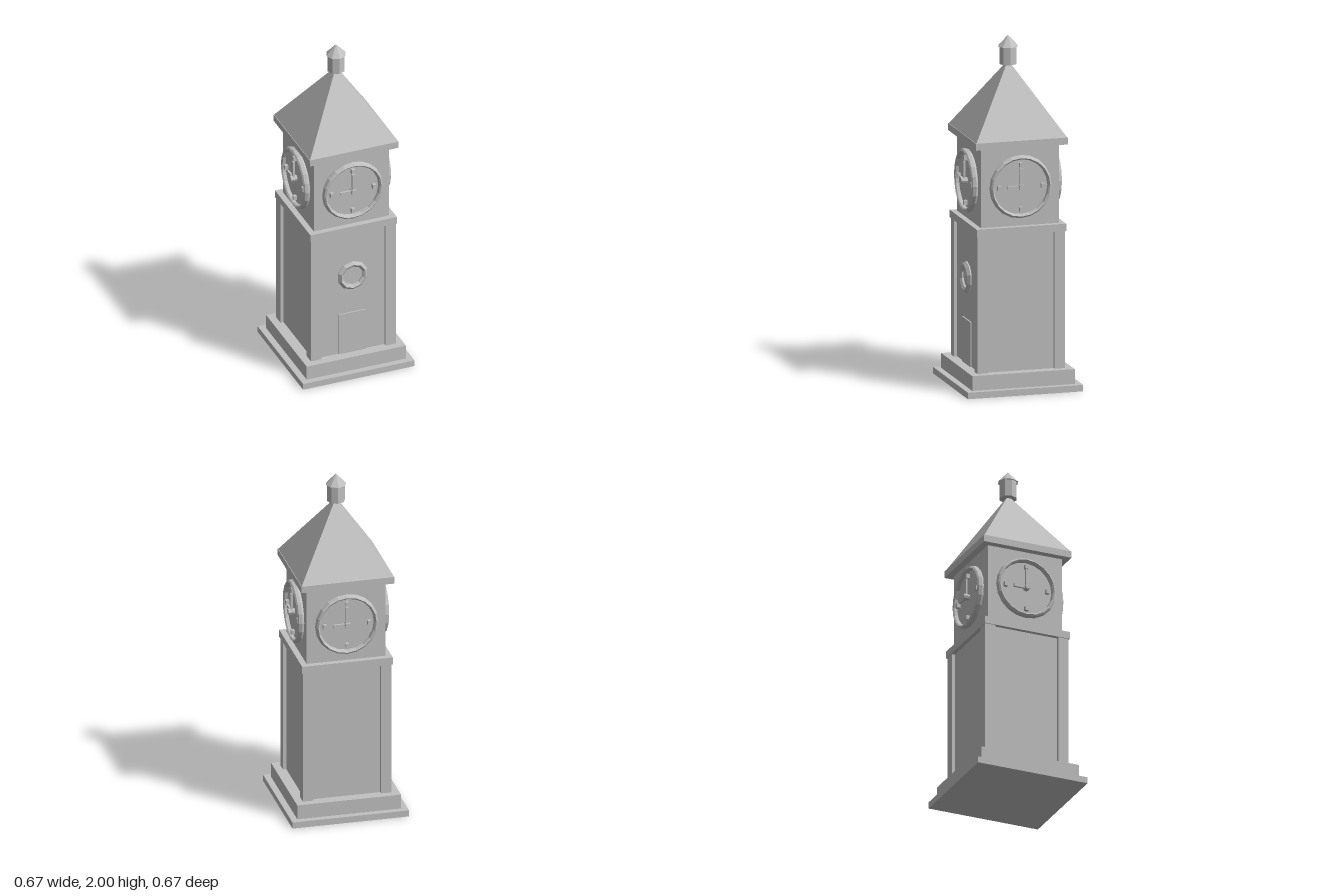
import * as THREE from 'three';

const stone = new THREE.MeshStandardMaterial({ color: 0xc0c0c0, flatShading: true });
stone.name = 'grey stone';

function add(parent, name, geometry, x = 0, y = 0, z = 0) {
  const mesh = new THREE.Mesh(geometry, stone);
  mesh.name = name;
  mesh.position.set(x, y, z);
  parent.add(mesh);
  return mesh;
}

// square block given by half width, bottom and top
function block(parent, name, half, y0, y1) {
  return add(parent, name, new THREE.BoxGeometry(half * 2, y1 - y0, half * 2), 0, (y0 + y1) / 2, 0);
}

// ring facing +z, turned from [radius, depth] points
function ring(points, sides) {
  const profile = points.map(([r, d]) => new THREE.Vector2(r, d));
  return new THREE.LatheGeometry(profile, sides).rotateX(Math.PI / 2);
}

// disc facing +z, back at z = 0
function disc(radius, depth, sides) {
  return new THREE.CylinderGeometry(radius, radius, depth, sides).rotateX(Math.PI / 2).translate(0, 0, depth / 2);
}

function createClock() {
  const clock = new THREE.Group();
  clock.name = 'clock';
  add(clock, 'clockFace', disc(0.165, 0.012, 20));
  add(clock, 'clockRim', ring([[0.175, 0], [0.182, 0.012], [0.177, 0.03], [0.168, 0.037], [0.16, 0.03], [0.157, 0.01]], 20));
  // quarter-hour markers
  for (let i = 0; i < 4; i++) {
    const a = i * Math.PI / 2;
    add(clock, 'hourMarker', new THREE.BoxGeometry(0.02, 0.026, 0.024), Math.sin(a) * 0.128, Math.cos(a) * 0.128, 0.02);
  }
  add(clock, 'minuteHand', new THREE.BoxGeometry(0.018, 0.11, 0.012), 0, 0.055, 0.03);
  add(clock, 'hourHand', new THREE.BoxGeometry(0.08, 0.018, 0.012), -0.04, 0, 0.03);
  add(clock, 'handPin', disc(0.018, 0.05, 8));
  return clock;
}

export function createModel() {
  const tower = new THREE.Group();
  tower.name = 'clockTower';

  // stepped base
  block(tower, 'lowerStep', 0.337, 0, 0.037);
  block(tower, 'upperStep', 0.3, 0.037, 0.122);

  // shaft with recessed panels between corner pillars
  block(tower, 'shaft', 0.238, 0.122, 0.91);
  for (const sx of [-1, 1]) for (const sz of [-1, 1]) {
    add(tower, 'cornerPillar', new THREE.BoxGeometry(0.062, 0.788, 0.062), sx * 0.226, 0.516, sz * 0.226);
  }
  block(tower, 'shaftCornice', 0.262, 0.91, 0.953);

  // door and round window on the front
  add(tower, 'door', new THREE.BoxGeometry(0.164, 0.258, 0.016), 0, 0.251, 0.238);
  const frame = ring([[0.088, 0], [0.092, 0.008], [0.075, 0.024], [0.06, 0.014], [0.06, 0]], 10);
  add(tower, 'roundWindowFrame', frame, 0, 0.623, 0.238);
  add(tower, 'roundWindowPane', disc(0.062, 0.004, 10), 0, 0.623, 0.238);

  // clock chamber with a clock on each side
  block(tower, 'clockChamber', 0.228, 0.953, 1.41);
  for (let i = 0; i < 4; i++) {
    const side = new THREE.Group();
    side.name = 'clockSide';
    side.rotation.y = i * Math.PI / 2;
    const clock = createClock();
    clock.position.set(0, 1.18, 0.228);
    side.add(clock);
    tower.add(side);
  }

  // pyramid roof on its eaves
  block(tower, 'eaves', 0.269, 1.41, 1.45);
  const roof = new THREE.ConeGeometry(0.266 * Math.SQRT2, 0.405, 4).rotateY(Math.PI / 4);
  add(tower, 'roof', roof, 0, 1.6525, 0);

  // eight-sided finial
  add(tower, 'finialDrum', new THREE.CylinderGeometry(0.051, 0.051, 0.105, 8), 0, 1.8875, 0);
  add(tower, 'finialCap', new THREE.ConeGeometry(0.059, 0.064, 8), 0, 1.968, 0);

  return tower;
}
